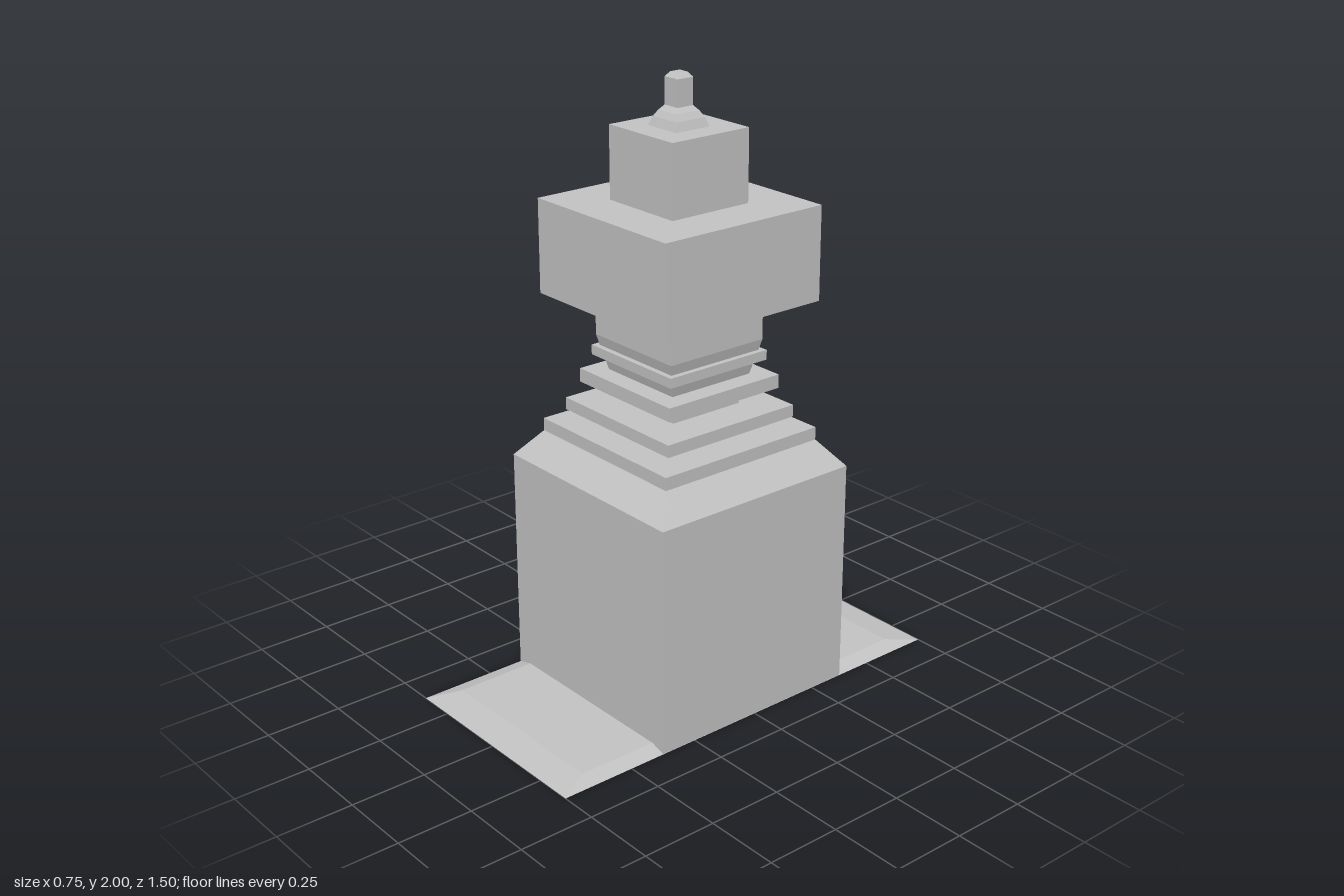
import * as THREE from 'three';

const stone = new THREE.MeshStandardMaterial({ color: 0xc4c4c4 });
stone.name = 'stoneGrey';

// Rectangular block from y0 to y1, with separate half-widths for its bottom and top
function block(name, y0, y1, bottomX, topX = bottomX, bottomZ = bottomX, topZ = topX) {
  const geometry = new THREE.BoxGeometry(2, 1, 2);
  const p = geometry.attributes.position;
  for (let i = 0; i < p.count; i++) {
    const top = p.getY(i) > 0;
    p.setXYZ(i,
      p.getX(i) * (top ? topX : bottomX),
      top ? y1 : y0,
      p.getZ(i) * (top ? topZ : bottomZ));
  }
  geometry.computeVertexNormals();
  const mesh = new THREE.Mesh(geometry, stone);
  mesh.name = name;
  return mesh;
}

// Stack of blocks through [y, half-width] points
function stack(name, profile) {
  const group = new THREE.Group();
  group.name = name;
  for (let i = 0; i + 1 < profile.length; i++) {
    const [y0, w0] = profile[i], [y1, w1] = profile[i + 1];
    group.add(block(`${name}Section${i + 1}`, y0, y1, w0, w1));
  }
  return group;
}

export function createModel() {
  const model = new THREE.Group();
  model.name = 'monument';

  // Thin ground slab with bevelled edges, and the pedestal standing on it
  model.add(block('groundSlab', 0, 0.015, 0.375, 0.32, 0.75, 0.645));
  model.add(block('pedestal', 0.001, 0.753, 0.375));
  model.add(block('pedestalShoulder', 0.753, 0.84, 0.375, 0.304));

  // Stepped collars around the neck
  const collars = [
    [0.84, 0.882, 0.304], [0.915, 0.955, 0.253],
    [1.01, 1.055, 0.22], [1.103, 1.135, 0.193],
  ];
  collars.forEach(([y0, y1, w], i) => model.add(block(`collar${i + 1}`, y0, y1, w)));

  // Neck flaring upwards to the head
  model.add(stack('neck', [
    [0.882, 0.132], [0.975, 0.132], [1.01, 0.143], [1.055, 0.155],
    [1.103, 0.167], [1.135, 0.175], [1.17, 0.183], [1.3, 0.183],
  ]));

  // Head and crown blocks
  model.add(block('head', 1.3, 1.604, 0.304));
  model.add(block('crown', 1.604, 1.837, 0.148));

  // Finial with a curved foot and a chamfered tip
  model.add(stack('finial', [
    [1.837, 0.065], [1.865, 0.055], [1.885, 0.043], [1.9, 0.03],
    [1.985, 0.03], [2, 0.018],
  ]));

  return model;
}
